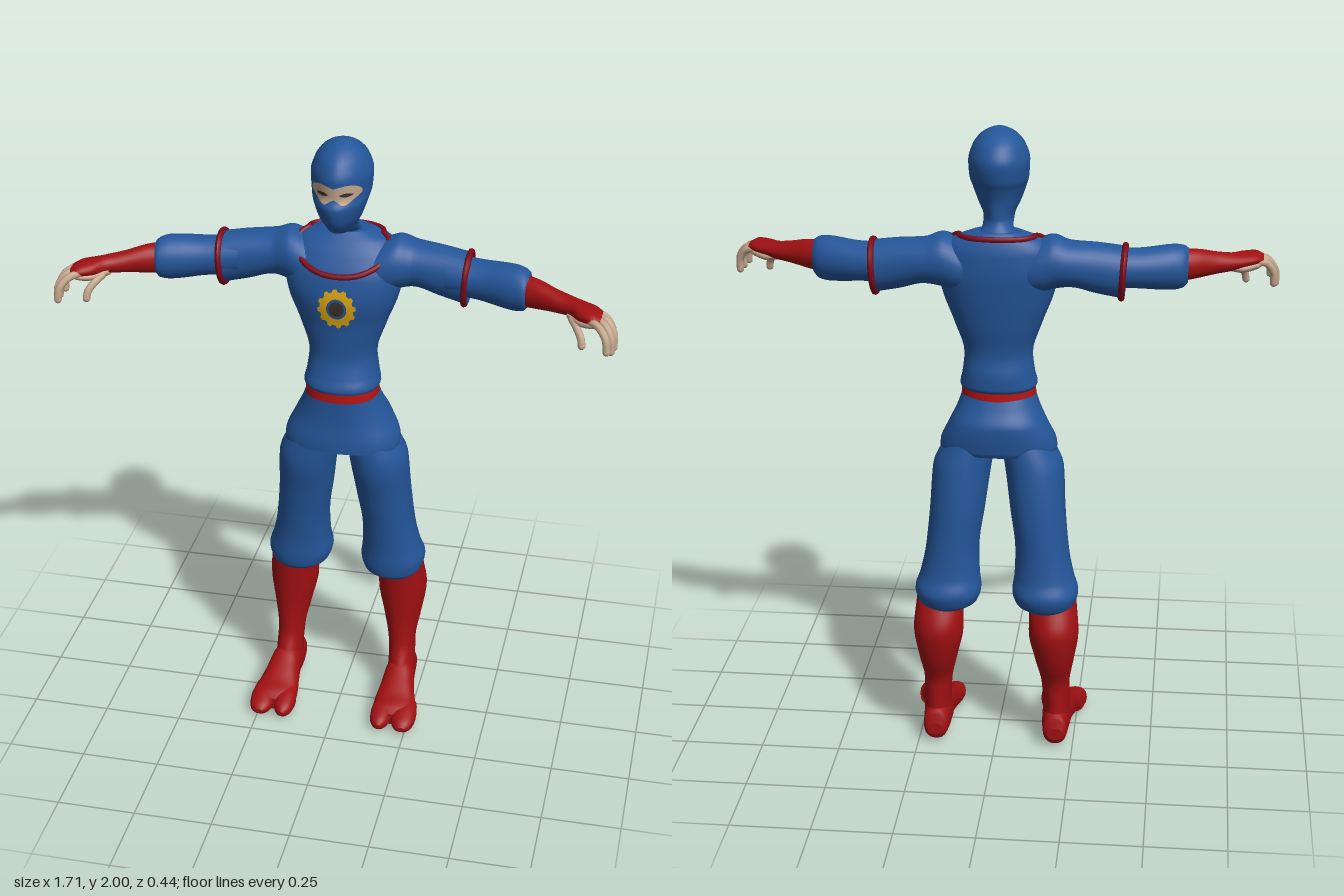
import * as THREE from 'three';

const mat = (name, color) => Object.assign(new THREE.MeshStandardMaterial({ color }), { name });

// Monotone cubic interpolation of rows keyed by their first number
function sample(rows, k) {
  let i = 0;
  while (i < rows.length - 2 && k > rows[i + 1][0]) i++;
  const h = rows[i + 1][0] - rows[i][0], t = (k - rows[i][0]) / h;
  return [1, 2, 3, 4].map((c) => {
    const slope = (j) => (rows[j + 1][c] - rows[j][c]) / (rows[j + 1][0] - rows[j][0]);
    const tangent = (j) => {
      if (j === 0) return slope(0);
      if (j === rows.length - 1) return slope(j - 1);
      const a = slope(j - 1), b = slope(j);
      return a * b <= 0 ? 0 : (2 * a * b) / (a + b);
    };
    const p = rows[i][c], q = rows[i + 1][c];
    return p + (q - p) * t * t * (3 - 2 * t)
      + h * (t * (1 - t) ** 2 * tangent(i) - t * t * (1 - t) * tangent(i + 1));
  });
}

// Surface through oval sections [k, aMin, aMax, bMin, bMax].
// axis y: a = x, b = z;  axis x: a = z, b = y;  axis z: a = y, b = x
function surface(rows, axis = 'y', power = 2, pinch = 0) {
  const at = (k, angle, lift = 0) => {
    const [a0, a1, b0, b1] = sample(rows, k);
    const c = Math.cos(angle), s = Math.sin(angle);
    const round = (v) => Math.sign(v) * Math.abs(v) ** (2 / power);
    const narrow = 1 - pinch * Math.max(0, s) ** 2;
    const a = (a0 + a1) / 2 + ((a1 - a0) / 2 + lift) * round(c) * narrow;
    const b = (b0 + b1) / 2 + ((b1 - b0) / 2 + lift) * round(s);
    if (axis === 'x') return new THREE.Vector3(k, b, a);
    if (axis === 'z') return new THREE.Vector3(b, a, k);
    return new THREE.Vector3(a, k, b);
  };
  return { at, rows };
}

function build(points, index) {
  const g = new THREE.BufferGeometry().setFromPoints(points);
  g.setIndex(index);
  g.computeVertexNormals();
  return g;
}

// Closed skin over a surface, with flat end caps
function skin({ at, rows }, sides = 32, steps = 5) {
  const keys = [];
  rows.forEach((r, i) => {
    if (i === rows.length - 1) return keys.push(r[0]);
    for (let j = 0; j < steps; j++) keys.push(r[0] + ((rows[i + 1][0] - r[0]) * j) / steps);
  });
  const ring = (k) => Array.from({ length: sides }, (_, j) => at(k, (j / sides) * Math.PI * 2));
  const pts = keys.flatMap(ring), index = [];
  for (let i = 0; i < keys.length - 1; i++) {
    for (let j = 0; j < sides; j++) {
      const n = (j + 1) % sides, p = i * sides, q = p + sides;
      index.push(p + j, q + j, p + n, p + n, q + j, q + n);
    }
  }
  [keys[0], keys[keys.length - 1]].forEach((k, end) => {
    const r = ring(k), base = pts.length;
    const mid = r.reduce((m, p) => m.add(p), new THREE.Vector3()).divideScalar(sides);
    pts.push(...r, mid);
    for (let j = 0; j < sides; j++) {
      const n = base + ((j + 1) % sides);
      index.push(base + sides, ...(end ? [n, base + j] : [base + j, n]));
    }
  });
  return build(pts, index);
}

// Thin painted patch following a surface between two angles
function patch({ at }, from, to, low, high, lift) {
  const pts = [], index = [], n = 28, m = 6;
  for (let i = 0; i <= m; i++) {
    for (let j = 0; j <= n; j++) {
      const u = (j / n) * 2 - 1;
      pts.push(at(low(u) + ((high(u) - low(u)) * i) / m, from + ((to - from) * j) / n, lift));
      if (i === m || j === n) continue;
      const p = i * (n + 1) + j, q = p + n + 1;
      index.push(p, q, p + 1, p + 1, q, q + 1);
    }
  }
  return build(pts, index);
}

// Piping that runs once round a surface
function piping({ at }, keyAt, radius) {
  const pts = Array.from({ length: 32 }, (_, i) => (i / 32) * Math.PI * 2).map((a) => at(keyAt(a), a, 0.001));
  return new THREE.TubeGeometry(new THREE.CatmullRomCurve3(pts, true), 80, radius, 8, true);
}

function mirrored(geometry) {
  const g = geometry.clone().scale(-1, 1, 1), ix = g.index.array;
  for (let i = 0; i < ix.length; i += 3) [ix[i], ix[i + 1]] = [ix[i + 1], ix[i]];
  g.computeVertexNormals();
  return g;
}

export function createModel() {
  const blue = mat('blue cloth', 0x24569a), red = mat('red leather', 0xa01012), trim = mat('maroon trim', 0x7c0a1c);
  const belt = mat('belt red', 0xb81414), tan = mat('skin', 0xc2a58c), gold = mat('gold', 0xdca512);
  const dark = mat('dark brown', 0x3b3228);
  const model = new THREE.Group();
  model.name = 'maskedFighter';
  const add = (name, geometry, material) => {
    const mesh = new THREE.Mesh(geometry, material);
    mesh.name = name;
    model.add(mesh);
  };
  const pair = (name, geometry, material) => {
    add(name + 'Left', geometry, material);
    add(name + 'Right', mirrored(geometry), material);
  };
  // Section symmetric in x
  const sym = (rows) => rows.map(([y, x, back, front]) => [y, -x, x, back, front]);

  // Hooded head and neck
  const head = surface(sym([
    [1.64, 0.075, -0.14, -0.02], [1.69, 0.053, -0.125, -0.035], [1.712, 0.046, -0.11, 0.01], [1.73, 0.047, -0.105, 0.065],
    [1.775, 0.066, -0.108, 0.105], [1.82, 0.082, -0.122, 0.115], [1.85, 0.09, -0.136, 0.099], [1.9, 0.093, -0.145, 0.102],
    [1.945, 0.08, -0.126, 0.083], [1.975, 0.058, -0.092, 0.05], [1.993, 0.029, -0.052, 0.014], [2, 0.004, -0.02, -0.012],
  ]), 'y', 2, 0.18);
  add('hood', skin(head, 40), blue);

  // Eye opening and eyes
  const mid = Math.PI / 2;
  add('eyeOpening', patch(head, mid - 1, mid + 1,
    (u) => 1.853 - 0.018 * Math.exp(-(((Math.abs(u) - 0.42) / 0.3) ** 2)) + 0.012 * u ** 6,
    (u) => 1.886 + 0.009 * Math.sin(Math.abs(u) * Math.PI) - 0.012 * u ** 6, 0.003), tan);
  for (const side of [-1, 1]) {
    const c = mid - side * 0.45;
    add(side > 0 ? 'eyeLeft' : 'eyeRight', patch(head, c - 0.25, c + 0.25,
      (u) => 1.866 - 0.006 * (1 - u * u), (u) => 1.866 + 0.006 * (1 - u * u), 0.005), dark);
  }

  // Tunic, belt and skirt
  const torso = surface(sym([
    [1.185, 0.112, -0.126, 0.07], [1.2, 0.12, -0.135, 0.075], [1.235, 0.113, -0.136, 0.062], [1.3, 0.106, -0.126, 0.045],
    [1.4, 0.135, -0.143, 0.05], [1.5, 0.172, -0.158, 0.065], [1.57, 0.185, -0.165, 0.055],
    [1.63, 0.175, -0.162, 0.025], [1.67, 0.138, -0.152, -0.005], [1.695, 0.075, -0.135, -0.03],
  ]), 'y', 2.2);
  add('tunic', skin(torso, 40), blue);
  add('collar', piping(torso, (a) => 1.681 - 0.099 * Math.max(0, Math.sin(a)) ** 1.5, 0.009), trim);
  add('belt', skin(surface(sym([[1.16, 0.116, -0.128, 0.072], [1.192, 0.115, -0.128, 0.072]]), 'y', 2.2), 40, 1), belt);
  add('skirt', skin(surface(sym([
    [0.985, 0.183, -0.148, 0.08], [1.0, 0.184, -0.155, 0.08], [1.08, 0.152, -0.165, 0.07], [1.13, 0.128, -0.142, 0.068], [1.172, 0.113, -0.124, 0.068],
  ]), 'y', 2.3), 40), blue);

  // Chest badge: plain toothed ring round a disc, bent to the chest
  const onChest = (g, lift) => {
    const p = g.attributes.position;
    for (let i = 0; i < p.count; i++) {
      const x = p.getX(i), y = 1.48 + p.getY(i) * 1.12;
      const [, rx, z0, z1] = sample(torso.rows, y);
      const z = (z0 + z1) / 2 + ((z1 - z0) / 2) * (1 - Math.abs(x / rx) ** 2.2) ** (1 / 2.2);
      p.setXYZ(i, x, y, z + lift);
    }
    g.computeVertexNormals();
    return g;
  };
  const ring = new THREE.RingGeometry(0.031, 0.056, 72, 3), rp = ring.attributes.position;
  for (let i = 0; i < rp.count; i++) {
    const r = Math.hypot(rp.getX(i), rp.getY(i));
    const f = r > 0.055 ? 1 + 0.07 * Math.sign(Math.sin(Math.atan2(rp.getY(i), rp.getX(i)) * 12 + 0.1)) : 1;
    rp.setXY(i, rp.getX(i) * f, rp.getY(i) * f);
  }
  add('badgeRing', onChest(ring, 0.004), gold);
  add('badgeCentre', onChest(new THREE.RingGeometry(0.001, 0.023, 32, 3), 0.004), dark);

  // Sleeves
  const sleeve = surface([
    [0.02, -0.13, 0.02, 1.51, 1.62], [0.1, -0.153, 0.028, 1.5, 1.655], [0.14, -0.157, 0.025, 1.505, 1.675], [0.17, -0.156, 0.018, 1.517, 1.683],
    [0.22, -0.15, 0.003, 1.525, 1.667], [0.3, -0.137, 0.007, 1.505, 1.66], [0.385, -0.128, 0.018, 1.487, 1.648],
  ], 'x', 2.1);
  pair('sleeve', skin(sleeve), blue);
  pair('sleeveTrim', piping(sleeve, (a) => 0.38 + 0.005 * Math.sin(a), 0.01), trim);
  pair('innerSleeve', skin(surface([
    [0.32, -0.115, 0.012, 1.52, 1.643], [0.42, -0.1, 0.027, 1.515, 1.638], [0.53, -0.073, 0.06, 1.505, 1.645],
    [0.56, -0.06, 0.065, 1.51, 1.64], [0.575, -0.045, 0.056, 1.525, 1.63],
  ], 'x')), blue);

  // Gloves, palms and fingers
  pair('glove', skin(surface([
    [0.54, -0.04, 0.05, 1.525, 1.627], [0.6, -0.014, 0.072, 1.532, 1.622], [0.66, 0.018, 0.096, 1.54, 1.608], [0.705, 0.038, 0.118, 1.544, 1.6],
    [0.74, 0.055, 0.158, 1.548, 1.597], [0.78, 0.078, 0.18, 1.554, 1.594], [0.805, 0.1, 0.168, 1.565, 1.582],
  ], 'x'), 24), red);
  pair('palm', skin(surface([
    [0.7, 0.06, 0.115, 1.542, 1.57], [0.74, 0.062, 0.155, 1.533, 1.57], [0.785, 0.085, 0.175, 1.54, 1.575], [0.808, 0.105, 0.16, 1.555, 1.572],
  ], 'x'), 20), tan);
  const digits = {
    littleFinger: [[0.785, 1.568, 0.1], [0.815, 1.56, 0.11], [0.836, 1.53, 0.118], [0.838, 1.495, 0.122]],
    ringFinger: [[0.785, 1.57, 0.122], [0.82, 1.563, 0.138], [0.843, 1.53, 0.15], [0.845, 1.488, 0.155]],
    middleFinger: [[0.78, 1.572, 0.145], [0.815, 1.563, 0.167], [0.838, 1.53, 0.185], [0.841, 1.49, 0.19]],
    indexFinger: [[0.77, 1.572, 0.163], [0.803, 1.562, 0.19], [0.825, 1.535, 0.21], [0.83, 1.5, 0.216]],
    thumb: [[0.715, 1.552, 0.12], [0.735, 1.535, 0.15], [0.75, 1.513, 0.168], [0.754, 1.492, 0.174]],
  };
  for (const [name, points] of Object.entries(digits)) {
    const path = points.map((p) => new THREE.Vector3(...p));
    pair(name, new THREE.TubeGeometry(new THREE.CatmullRomCurve3(path), 12, 0.0115, 10), tan);
    pair(name + 'Tip', new THREE.SphereGeometry(0.0116, 10, 8).translate(...points[3]), tan);
  }

  // Baggy trousers
  pair('trouserLeg', skin(surface([
    [0.475, 0.085, 0.235, -0.185, -0.02], [0.49, 0.062, 0.25, -0.2, -0.006], [0.53, 0.05, 0.26, -0.212, 0.0], [0.58, 0.056, 0.245, -0.195, 0.002],
    [0.66, 0.058, 0.228, -0.186, 0.012], [0.8, 0.04, 0.214, -0.178, 0.038], [0.93, 0.022, 0.206, -0.162, 0.064], [1.03, 0.005, 0.155, -0.14, 0.06],
  ], 'y', 2.15)), blue);

  // Boots with split toes
  pair('bootShaft', skin(surface([
    [0.05, 0.148, 0.238, -0.165, 0.03], [0.13, 0.15, 0.237, -0.157, -0.012], [0.2, 0.146, 0.235, -0.157, -0.042],
    [0.3, 0.125, 0.25, -0.195, -0.05], [0.4, 0.105, 0.264, -0.215, -0.048], [0.5, 0.105, 0.255, -0.175, -0.045],
  ])), red);
  pair('foot', skin(surface([
    [-0.178, 0.03, 0.07, 0.17, 0.22], [-0.165, 0.012, 0.11, 0.155, 0.232], [-0.1, 0.008, 0.13, 0.148, 0.238], [-0.04, 0.012, 0.145, 0.146, 0.245],
    [0.02, 0.008, 0.118, 0.14, 0.256], [0.08, 0.003, 0.086, 0.132, 0.272], [0.12, 0.001, 0.07, 0.131, 0.278], [0.142, 0.01, 0.05, 0.145, 0.265],
  ], 'z', 2.3)), red);
  [['bigToe', 0.129, 0.199], ['outerToes', 0.2, 0.281]].forEach(([name, x0, x1]) => {
    pair(name, skin(surface([
      [0.07, 0.006, 0.078, x0 + 0.008, x1 - 0.006], [0.12, 0.001, 0.068, x0, x1], [0.155, 0.003, 0.056, x0 + 0.004, x1 - 0.004],
      [0.175, 0.008, 0.046, x0 + 0.014, x1 - 0.014], [0.187, 0.02, 0.034, x0 + 0.027, x1 - 0.027],
    ], 'z', 2.2), 20), red);
  });
  return model;
}
